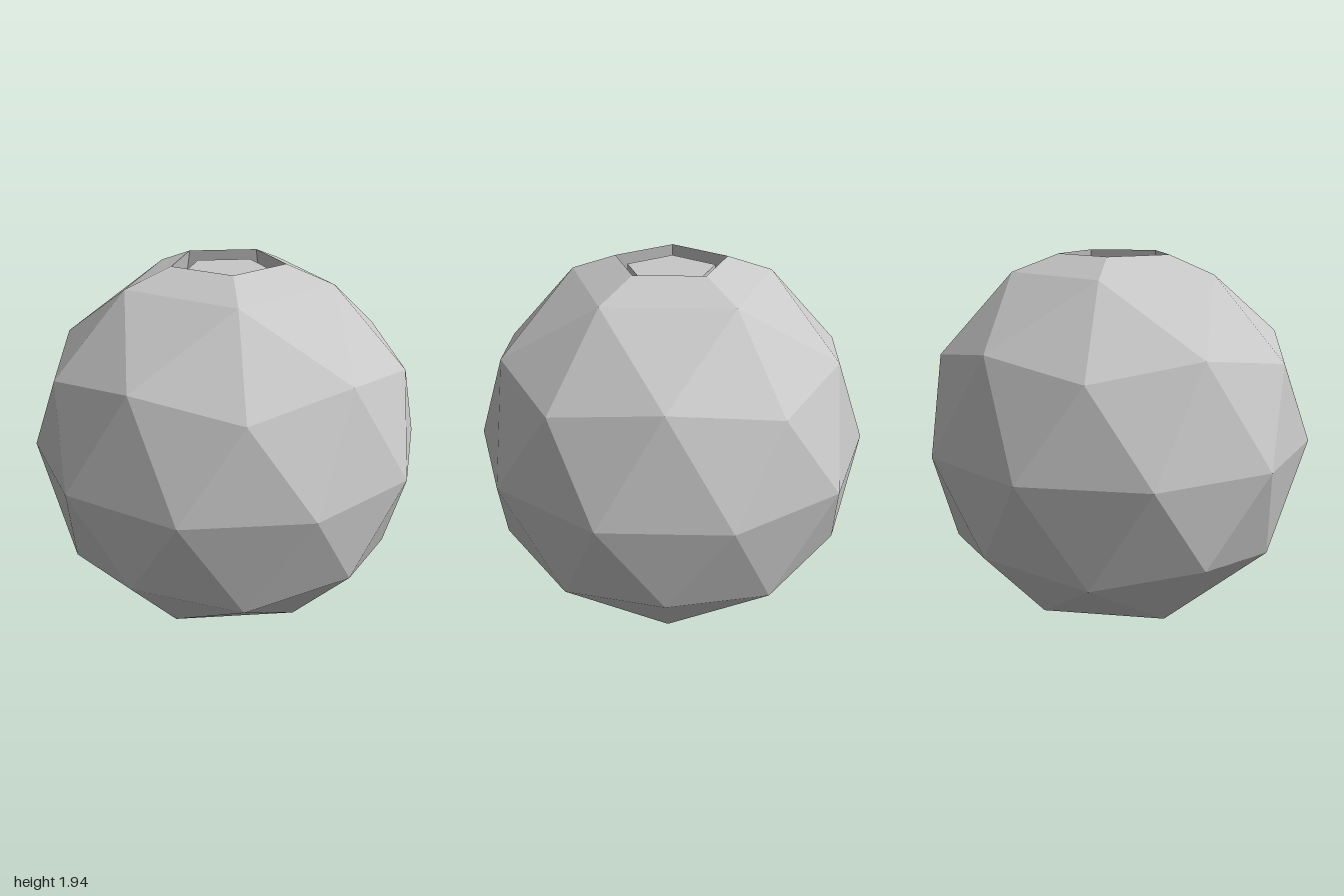
import * as THREE from 'three';

const STEP = Math.PI / 5; // 36 degrees

// Point on a ring; i counts 36-degree steps
const at = (r, y, i) => [r * Math.cos(i * STEP), y, -r * Math.sin(i * STEP)];

function flatMesh(name, triangles, material) {
  const geometry = new THREE.BufferGeometry();
  geometry.setAttribute('position', new THREE.Float32BufferAttribute(triangles.flat(2), 3));
  geometry.computeVertexNormals();
  const mesh = new THREE.Mesh(geometry, material);
  mesh.name = name;
  return mesh;
}

// Five-sided band between a lower and an upper pentagon, facing out or in
function band(rLow, yLow, rHigh, yHigh, inward = false) {
  const tris = [];
  for (let i = 0; i < 10; i += 2) {
    const a = at(rLow, yLow, i), b = at(rLow, yLow, i + 2);
    const c = at(rHigh, yHigh, i + 2), d = at(rHigh, yHigh, i);
    tris.push([a, b, c], [a, c, d]);
  }
  return inward ? tris.map(([a, b, c]) => [a, c, b]) : tris;
}

// Upper half of a geodesic ball of radius 1, without its five polar faces
function halfBall() {
  const polar = i => at(0.5257, 0.8507, i);
  const middle = i => (i % 2 ? at(0.8507, 0.5257, i) : at(0.8944, 0.4472, i));
  const equator = i => at(1, 0, i + 0.5);
  const tris = [];
  for (let i = 0; i < 10; i++) {
    tris.push([middle(i), equator(i - 1), equator(i)], [middle(i), equator(i), middle(i + 1)]);
    if (i % 2 === 0) {
      tris.push(
        [polar(i), middle(i - 1), middle(i)],
        [polar(i), middle(i), middle(i + 1)],
        [polar(i), middle(i + 1), polar(i + 2)]);
    }
  }
  return tris;
}

// Flip to the underside, turned by 36 degrees
function underside(tris) {
  const c = Math.cos(STEP), s = Math.sin(STEP);
  const flip = ([x, y, z]) => [x * c + z * s, -y, z * c - x * s];
  return tris.map(([a, b, d]) => [flip(a), flip(d), flip(b)]);
}

const lift = tris => tris.map(t => t.map(([x, y, z]) => [x, y + 1, z]));

export function createModel() {
  const model = new THREE.Group();
  model.name = 'facetedBall';

  const grey = new THREE.MeshStandardMaterial({ color: 0xc8c8c8 });
  grey.name = 'grey';
  const green = new THREE.MeshStandardMaterial({ color: 0x14eb14 });
  green.name = 'green';

  const rimY = 1.938, floorY = 1.8, buttonY = 1.9;

  // Shell: closed below, cut open by a pentagon on top
  const half = halfBall();
  const bottomCap = underside(band(0.5257, 0.8507, 0, 1));
  model.add(flatMesh('shell', [
    ...lift(half), ...lift(underside(half)), ...lift(bottomCap),
    ...band(0.5257, 1.8507, 0.29, rimY),
  ], grey));

  // Socket wall, slightly undercut
  model.add(flatMesh('socketWall', band(0.32, floorY, 0.29, rimY, true), grey));

  // Green floor showing as a ring around the button
  model.add(flatMesh('socketFloor', band(0.32, floorY, 0.227, floorY), green));

  // Pentagonal button sunk just below the rim
  model.add(flatMesh('button', [
    ...band(0.227, floorY, 0.227, buttonY), ...band(0.227, buttonY, 0, buttonY),
  ], grey));

  return model;
}
